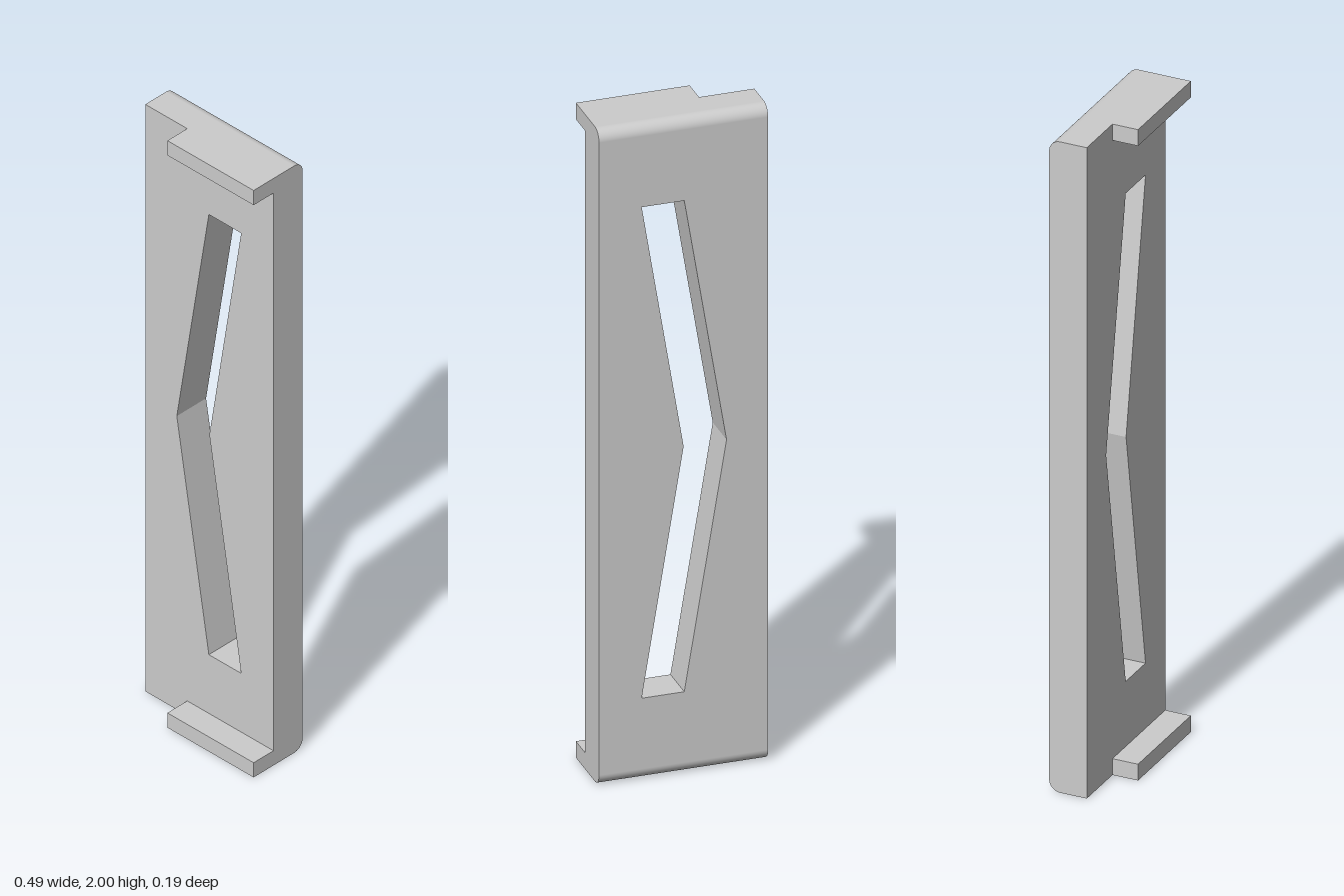
import * as THREE from 'three';

const HALF_W = 0.246, HEIGHT = 2;
const BACK = -0.097, FACE = 0.018, FRONT = 0.096;
const R = 0.034, ARC = 10;

// Slotted plate whose back top and bottom edges are rounded
function plateGeometry() {
  const outline = new THREE.Shape([
    [-HALF_W, 0], [HALF_W, 0], [HALF_W, HEIGHT], [-HALF_W, HEIGHT],
  ].map(([x, y]) => new THREE.Vector2(x, y)));
  outline.holes.push(new THREE.Path([
    [-0.002, 0.25], [-0.125, 1], [-0.002, 1.75], [0.122, 1.75], [0, 1], [0.122, 0.25],
  ].map(([x, y]) => new THREE.Vector2(x, y))));

  const geo = new THREE.ExtrudeGeometry(outline, { depth: ARC + 1, steps: ARC + 1, bevelEnabled: false });
  const pos = geo.attributes.position;
  // Layers 0..ARC follow the rounded edge, the last layer is the front face
  for (let i = 0; i < pos.count; i++) {
    const layer = Math.round(pos.getZ(i)), y = pos.getY(i);
    const a = Math.min(layer / ARC, 1) * Math.PI / 2;
    const inset = R * (1 - Math.sin(a));
    if (y < 0.001) pos.setY(i, inset);
    else if (y > HEIGHT - 0.001) pos.setY(i, HEIGHT - inset);
    pos.setZ(i, layer > ARC ? FACE : BACK + R * (1 - Math.cos(a)));
  }
  geo.computeVertexNormals();
  // Smooth normals on the rounded strips only
  const nor = geo.attributes.normal;
  for (let i = 0; i < nor.count; i++) {
    const ny = nor.getY(i);
    if (Math.abs(ny) < 0.01 || Math.abs(nor.getZ(i)) < 0.01) continue;
    const c = THREE.MathUtils.clamp(1 - (pos.getZ(i) - BACK) / R, 0, 1);
    nor.setXYZ(i, 0, Math.sign(ny) * Math.sqrt(1 - c * c), -c);
  }
  return geo;
}

export function createModel() {
  const model = new THREE.Group();
  model.name = 'slottedCover';
  const grey = new THREE.MeshStandardMaterial({ color: 0xcccccc });

  const plate = new THREE.Mesh(plateGeometry(), grey);
  plate.name = 'plate';
  model.add(plate);

  // Lips projecting forward at both ends, flush with the left side
  const lipLeft = -0.085, lipH = 0.05;
  const lip = new THREE.BoxGeometry(HALF_W - lipLeft, lipH, FRONT - FACE);
  for (const [name, y] of [['bottomLip', lipH / 2], ['topLip', HEIGHT - lipH / 2]]) {
    const mesh = new THREE.Mesh(lip, grey);
    mesh.name = name;
    mesh.position.set((HALF_W + lipLeft) / 2, y, (FRONT + FACE) / 2);
    model.add(mesh);
  }
  return model;
}
